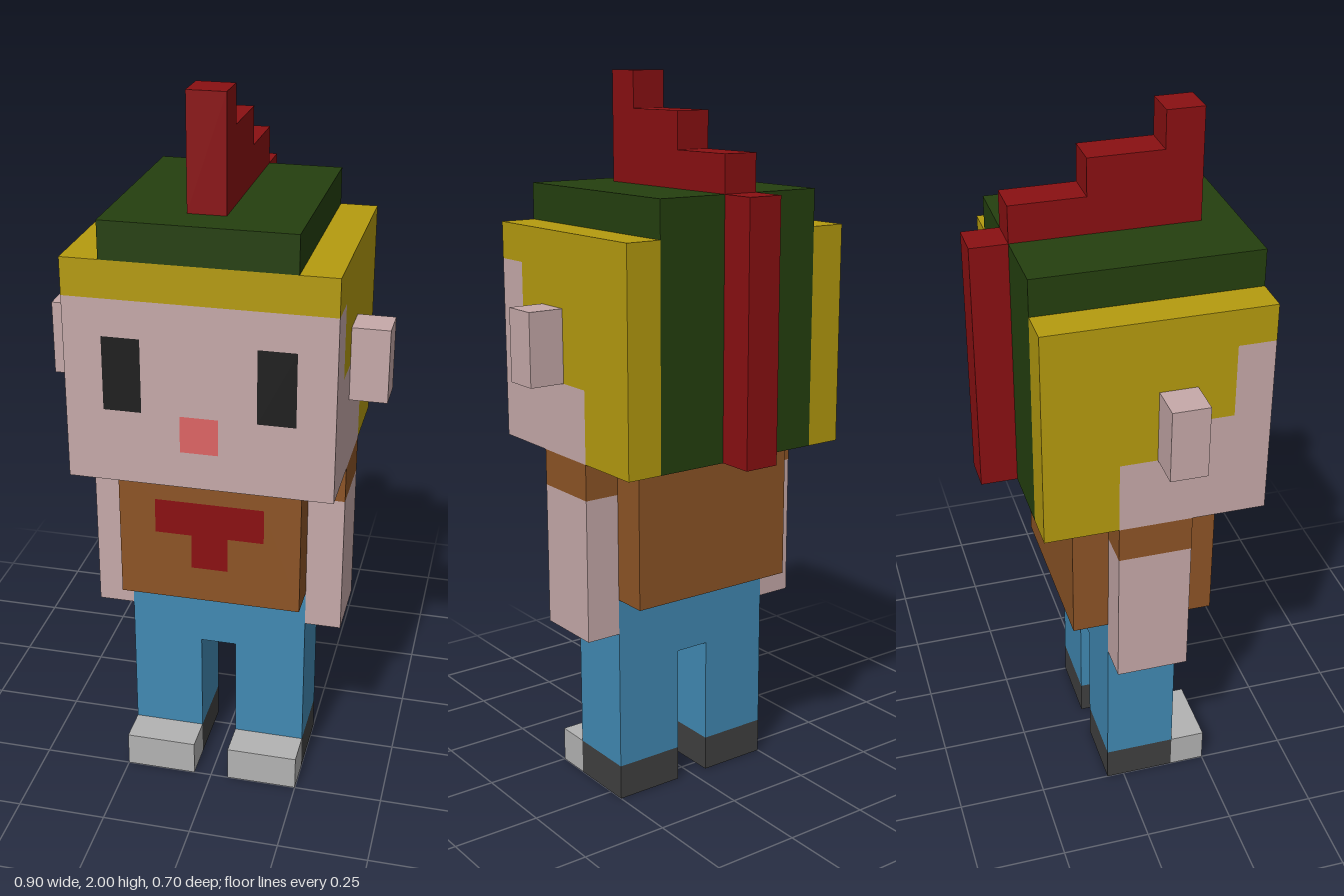
import * as THREE from 'three';

const mat = (color) => new THREE.MeshStandardMaterial({ color, flatShading: true });

export function createModel() {
  const model = new THREE.Group();
  const skin = mat(0xc6a9a9), hair = mat(0xb59b0f), green = mat(0x25400f), brown = mat(0x8d5426);
  const red = mat(0x8a1012), blue = mat(0x4189b3), black = mat(0x1f1f1f), pink = mat(0xdd6464);
  const lightGrey = mat(0xb3b3b3), darkGrey = mat(0x404040);

  const add = (name, geometry, material) => {
    const mesh = new THREE.Mesh(geometry, material);
    mesh.name = name;
    model.add(mesh);
  };
  // Box given by its limits on each axis
  const box = (name, material, [x0, x1], [y0, y1], [z0, z1]) =>
    add(name, new THREE.BoxGeometry(x1 - x0, y1 - y0, z1 - z0)
      .translate((x0 + x1) / 2, (y0 + y1) / 2, (z0 + z1) / 2), material);
  // The same box on both sides
  const pair = (name, material, [x0, x1], y, z) => {
    box(name + 'Left', material, [x0, x1], y, z);
    box(name + 'Right', material, [-x1, -x0], y, z);
  };
  const points = (list) => list.map(([x, y]) => new THREE.Vector2(x, y));
  const rect = (x0, x1, y0, y1) => [[x0, y0], [x1, y0], [x1, y1], [x0, y1]];
  const slab = (outline, depth, holes = []) => {
    const shape = new THREE.Shape(points(outline));
    holes.forEach((h) => shape.holes.push(new THREE.Path(points(h))));
    return new THREE.ExtrudeGeometry(shape, { depth, bevelEnabled: false });
  };

  // Shoes, legs and hips
  pair('toe', lightGrey, [0.05, 0.25], [0, 0.1], [0.15, 0.25]);
  pair('shoe', darkGrey, [0.05, 0.25], [0, 0.1], [-0.05, 0.15]);
  pair('leg', blue, [0.05, 0.25], [0.1, 0.4], [-0.05, 0.15]);
  box('hips', blue, [-0.25, 0.25], [0.4, 0.6], [-0.05, 0.15]);

  // Torso, with the chest emblem set flush into its front layer
  const emblem = [[-0.05, 0.7], [0.05, 0.7], [0.05, 0.8], [0.15, 0.8],
    [0.15, 0.9], [-0.15, 0.9], [-0.15, 0.8], [-0.05, 0.8]];
  box('torso', brown, [-0.25, 0.25], [0.6, 1], [-0.15, 0.15]);
  add('chest', slab(rect(-0.25, 0.25, 0.6, 1), 0.1, [emblem]).translate(0, 0, 0.15), brown);
  add('chestPatch', slab(emblem, 0.1).translate(0, 0, 0.15), red);

  // Arms and sleeves
  pair('arm', skin, [0.25, 0.35], [0.5, 0.9], [-0.05, 0.15]);
  pair('sleeve', brown, [0.25, 0.35], [0.9, 1], [-0.05, 0.15]);

  // Face, with eyes and nose set flush
  const eyes = [rect(-0.25, -0.15, 1.2, 1.4), rect(0.15, 0.25, 1.2, 1.4)];
  const nose = rect(-0.05, 0.05, 1.1, 1.2);
  add('face', slab(rect(-0.35, 0.35, 1, 1.5), 0.1, [...eyes, nose]).translate(0, 0, 0.25), skin);
  add('eyeRight', slab(eyes[0], 0.1).translate(0, 0, 0.25), black);
  add('eyeLeft', slab(eyes[1], 0.1).translate(0, 0, 0.25), black);
  add('nose', slab(nose, 0.1).translate(0, 0, 0.25), pink);
  box('fringe', hair, [-0.35, 0.35], [1.5, 1.6], [0.25, 0.35]);

  // Side hair and cheeks, drawn as (z, y) and extruded along x
  const steps = [[-0.05, 1], [-0.05, 1.2], [0.15, 1.2], [0.15, 1.3], [0.25, 1.3]];
  const hairSide = [[-0.25, 1], ...steps, [0.25, 1.6], [-0.25, 1.6]];
  const cheek = [...steps, [0.25, 1]];
  for (const [side, x] of [['Left', 0.35], ['Right', -0.25]]) {
    const across = (outline) => slab(outline, 0.1).rotateY(-Math.PI / 2).translate(x, 0, 0);
    add('hair' + side, across(hairSide), hair);
    add('cheek' + side, across(cheek), skin);
  }
  pair('ear', skin, [0.35, 0.45], [1.2, 1.4], [0.05, 0.15]);

  // Helmet over the middle of the head, down to the neck
  box('helmet', green, [-0.25, 0.25], [1, 1.7], [-0.25, 0.25]);
  box('helmetFront', green, [-0.25, 0.25], [1.6, 1.7], [0.25, 0.35]);

  // Crest: stepped ridge on top, strip down the back
  const crest = [[-0.35, 1], [-0.25, 1], [-0.25, 1.7], [0.25, 1.7], [0.25, 2], [0.15, 2], [0.15, 1.9],
    [-0.05, 1.9], [-0.05, 1.8], [-0.25, 1.8], [-0.25, 1.7], [-0.35, 1.7]];
  const ridge = crest.slice(2, 10);
  add('crestTop', slab(ridge, 0.1).rotateY(-Math.PI / 2).translate(0.05, 0, 0), red);
  box('crestBack', red, [-0.05, 0.05], [1, 1.7], [-0.35, -0.25]);

  return model;
}
